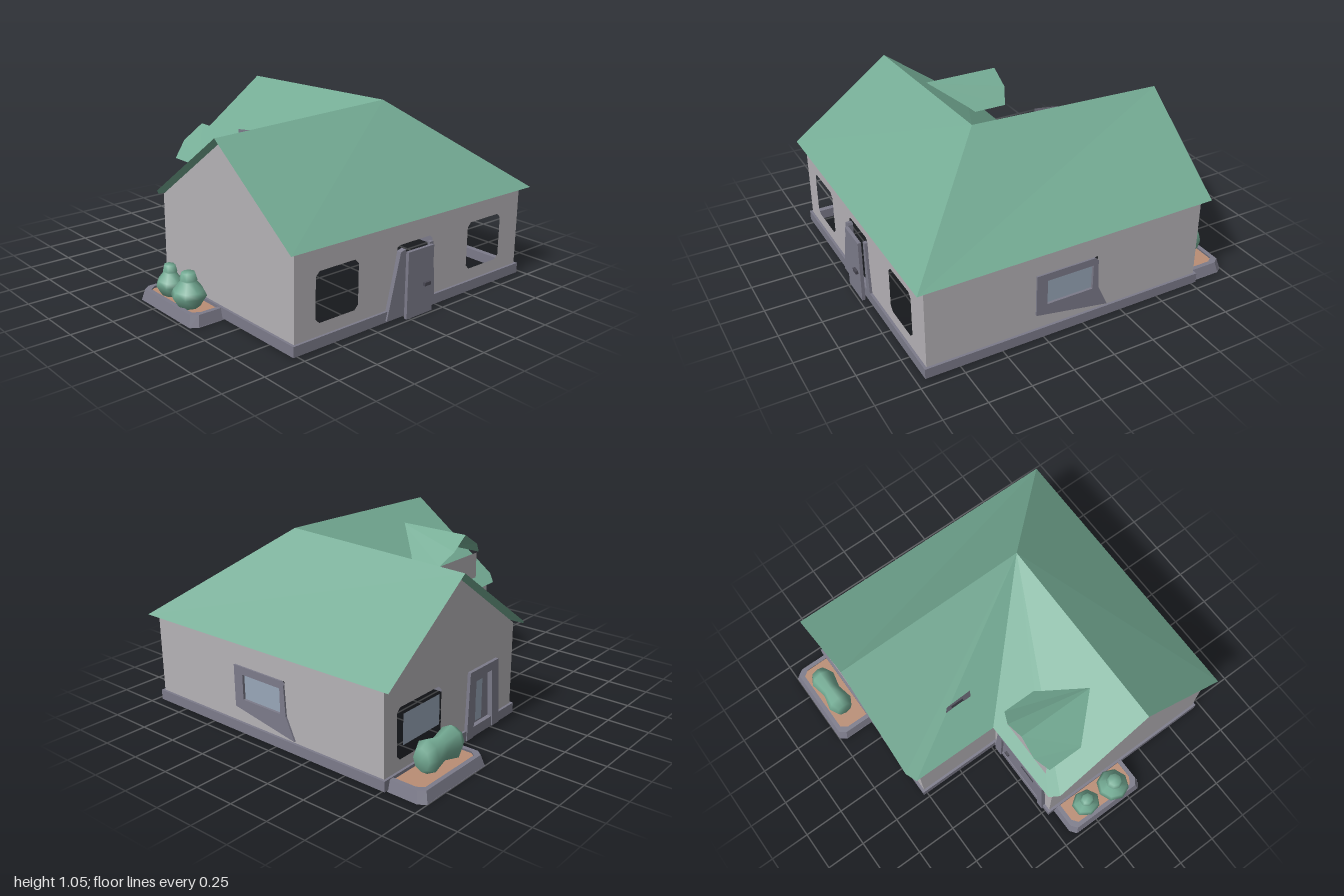
import * as THREE from 'three';

const mat = (name, color, side = THREE.FrontSide) => {
  const m = new THREE.MeshStandardMaterial({ color, side });
  m.name = name;
  return m;
};

export function createModel() {
  const house = new THREE.Group();
  house.name = 'house';
  const green = mat('green', 0x74ab94, THREE.DoubleSide);
  const wallGrey = mat('wallGrey', 0xb5b2b6);
  const trim = mat('slateTrim', 0x7c7b8a, THREE.DoubleSide);
  const glass = mat('glass', 0x98a6b8, THREE.DoubleSide);
  const soil = mat('soil', 0xb98d74);
  const dark = mat('darkDetail', 0x4a4954);

  const add = (name, geometry, material, parent = house) => {
    const mesh = new THREE.Mesh(geometry, material);
    mesh.name = name;
    parent.add(mesh);
    return mesh;
  };

  // Facing turns a panel; u runs along x (front), -z (right), -x (back), z (left)
  const turns = { front: 0, right: Math.PI / 2, back: Math.PI, left: -Math.PI / 2 };
  const toPts = (list) => list.map(([x, y]) => new THREE.Vector2(x, y));
  const shapeOf = (outline, holes = []) => {
    const s = new THREE.Shape(toPts(outline));
    holes.forEach((h) => s.holes.push(new THREE.Path(toPts(h))));
    return s;
  };
  const panel = (name, material, facing, dist, outline, holes = [], depth = 0) => {
    const s = shapeOf(outline, holes);
    const g = depth
      ? new THREE.ExtrudeGeometry(s, { depth, bevelEnabled: false })
      : new THREE.ShapeGeometry(s);
    g.translate(0, 0, dist).rotateY(turns[facing]);
    return add(name, g, material);
  };
  const rect = (a, b, c, d) => [[a, b], [c, b], [c, d], [a, d]];
  // Rectangle with clipped corners
  const clipped = (a, b, c, d, k = 0.025) => [
    [a + k, b], [c - k, b], [c, b + k], [c, d - k], [c - k, d], [a + k, d], [a, d - k], [a, b + k],
  ];

  // Walls, open at windows and doors
  const low = 0.06, top = 0.57, peak = 0.995;
  panel('frontWall', wallGrey, 'front', 0.94,
    [[-0.77, low], [-0.13, low], [-0.06, 0.41], [-0.04, 0.42], [0.19, 0.42], [0.21, 0.4],
      [0.21, low], [0.94, low], [0.94, top], [-0.77, top]],
    [clipped(-0.63, 0.14, -0.34, 0.42), clipped(0.5, 0.14, 0.78, 0.42)]);
  panel('rightWall', wallGrey, 'right', 0.94, rect(-0.94, low, 0.76, top),
    [rect(-0.28, 0.18, 0.08, 0.41)]);
  panel('backGableWall', wallGrey, 'back', 0.76,
    [[-0.94, low], [-0.23, low], [-0.22, 0.41], [0.03, 0.41], [0.05, low],
      [0.21, low], [0.21, top], [-0.37, peak], [-0.94, top]],
    [clipped(-0.84, 0.13, -0.47, 0.42)]);
  panel('leftGableWall', wallGrey, 'left', 0.77,
    [[-0.21, low], [0.94, low], [0.94, top], [0.37, peak], [-0.21, top]]);
  panel('innerBackWall', wallGrey, 'back', 0.21, rect(0.21, low, 0.77, top));
  panel('innerSideWall', wallGrey, 'left', 0.21, rect(-0.76, low, -0.21, top));

  // Plinth ring and underside
  const footprint = (o) => [
    [-0.77 - o, -0.94 - o], [0.94 + o, -0.94 - o], [0.94 + o, 0.76 + o],
    [-0.21 - o, 0.76 + o], [-0.21 - o, 0.21 + o], [-0.77 - o, 0.21 + o],
  ];
  const plinth = new THREE.ExtrudeGeometry(shapeOf(footprint(0.015), [footprint(-0.02)]),
    { depth: 0.06, bevelEnabled: false });
  add('plinth', plinth.rotateX(-Math.PI / 2).translate(0, 0.01, 0), trim);
  const under = new THREE.ShapeGeometry(shapeOf(footprint(0).map(([x, y]) => [x, -y]).reverse()));
  add('underside', under.rotateX(Math.PI / 2).translate(0, 0.012, 0), mat('slateUnderside', 0x7c7b8a));

  // Flat sheets given by their corners
  const sheet = (name, corners) => {
    const pos = [];
    for (let i = 1; i < corners.length - 1; i++) pos.push(...corners[0], ...corners[i], ...corners[i + 1]);
    const g = new THREE.BufferGeometry();
    g.setAttribute('position', new THREE.Float32BufferAttribute(pos, 3));
    g.computeVertexNormals();
    return add(name, g, green);
  };

  // L-shaped roof with two ridges meeting at one point
  const P = [0.37, 1.05, 0.37], A = [-0.82, 1.015, 0.37], B = [0.37, 1.015, -0.82];
  const corner = [0.98, 0.55, 0.99], V = [-0.26, 0.55, -0.26];
  sheet('roofFront', [[-0.82, 0.56, 0.98], corner, P, A]);
  sheet('roofRight', [corner, [0.97, 0.56, -0.81], B, P]);
  sheet('roofInnerBack', [P, V, [-0.78, 0.56, -0.25], [-0.82, 0.6, -0.2], A]);
  sheet('roofInnerSide', [P, B, [-0.2, 0.6, -0.83], [-0.26, 0.56, -0.8], V]);

  // Dormer on the inner back slope
  for (const s of [-1, 1]) {
    const x = -0.485 + s * 0.21;
    const inner = [-0.485, 0.93, 0.26], end = [-0.485, 0.93, -0.23];
    const half = [inner, end, [-0.485 + s * 0.12, 0.85, -0.235], [x, 0.77, -0.19], [x, 0.77, 0.04]];
    sheet('dormerRoof', s > 0 ? half : half.reverse());
  }
  panel('dormerWall', wallGrey, 'back', 0.19, [[0.3, 0.6], [0.67, 0.6], [0.67, 0.77], [0.3, 0.77]]);
  // Upright roof window on the inner side slope
  panel('roofWindowFrame', trim, 'left', 0.07,
    [[-0.46, 0.66], [-0.28, 0.66], [-0.28, 0.81], [-0.44, 0.79]],
    [rect(-0.41, 0.7, -0.33, 0.76)]);
  panel('roofWindowPane', dark, 'left', 0.068, rect(-0.42, 0.69, -0.32, 0.77));

  // Front door with its leaning surround
  panel('frontDoor', trim, 'front', 0.965, rect(-0.02, 0, 0.175, 0.385), [], 0.02);
  panel('frontDoorSurround', trim, 'front', 0.935,
    [[-0.15, 0.02], [-0.02, 0.02], [-0.02, 0.385], [-0.025, 0.4], [-0.06, 0.39]], [], 0.03);
  panel('frontDoorJamb', trim, 'front', 0.935, [[0.175, 0.02], [0.23, 0.02], [0.2, 0.39], [0.175, 0.39]], [], 0.02);
  panel('frontDoorHandle', dark, 'front', 0.985, rect(0.1, 0.165, 0.145, 0.185), [], 0.015);

  // Right window with a skewed sill
  panel('rightWindowFrame', trim, 'right', 0.935,
    [[-0.3, 0.16], [0.15, 0.08], [0.09, 0.21], [0.08, 0.39], [0.06, 0.41], [-0.3, 0.41]],
    [rect(-0.235, 0.215, 0.05, 0.365)], 0.015);
  panel('rightWindowGlass', glass, 'right', 0.932, rect(-0.24, 0.21, 0.055, 0.37));

  // Back gable window and narrow door
  panel('backWindowGlass', glass, 'back', 0.76, rect(-0.79, 0.2, -0.485, 0.375));
  panel('backDoorSurround', trim, 'back', 0.75,
    [[-0.25, 0.01], [-0.19, 0.01], [-0.17, 0.36], [-0.02, 0.36], [0, 0.01], [0.07, 0.01], [0.04, 0.41], [-0.23, 0.41]],
    [], 0.03);
  panel('backDoor', trim, 'back', 0.74, rect(-0.19, 0.01, 0, 0.37), [], 0.008);
  panel('backDoorGlass', glass, 'back', 0.75, rect(-0.13, 0.08, -0.07, 0.32));

  // Wide door on the inner back wall
  panel('wideDoorSurround', trim, 'back', 0.2,
    [[0.24, 0.01], [0.3, 0.01], [0.31, 0.38], [0.66, 0.38], [0.68, 0.01], [0.73, 0.01], [0.7, 0.42], [0.27, 0.42]],
    [], 0.035);
  panel('wideDoor', trim, 'back', 0.21, rect(0.29, 0.01, 0.68, 0.39), [], 0.01);
  panel('wideDoorWindow', dark, 'back', 0.221, rect(0.49, 0.26, 0.61, 0.36));
  panel('wideDoorHandle', dark, 'back', 0.22, rect(0.34, 0.17, 0.37, 0.19), [], 0.015);

  // Planter: v runs outward from the wall, outer corners clipped and sides flared
  const planter = (name, facing, dist, u0, u1, reach) => {
    const group = new THREE.Group();
    group.name = name;
    const ring = (i) => [[u0 + i, 0], [u1 - i, 0], [u1 - i, reach - 0.04 - i],
      [u1 - i - 0.03, reach - i], [u0 + i + 0.03, reach - i], [u0 + i, reach - 0.04 - i]];
    const box = new THREE.ExtrudeGeometry(shapeOf(ring(0), [ring(0.028).map(([u, v]) => [u, Math.max(v, 0.005)])]),
      { depth: 0.065, bevelEnabled: false });
    const p = box.attributes.position, mid = (u0 + u1) / 2;
    for (let i = 0; i < p.count; i++) {
      if (p.getZ(i) > 0.01) p.setXY(i, mid + (p.getX(i) - mid) * 0.94, p.getY(i) * 0.92);
    }
    box.computeVertexNormals();
    // shape plane to ground plane, outward along +z
    const lay = (g, y) => g.scale(1, -1, 1).rotateX(-Math.PI / 2).translate(0, y, dist);
    add('planterRim', lay(box, 0), trim, group);
    const bed = new THREE.ShapeGeometry(shapeOf(ring(0.015)));
    add('planterSoil', lay(bed, 0.052), mat0, group);
    const base = new THREE.ShapeGeometry(shapeOf(ring(0)));
    add('planterBase', lay(base, 0.004), trim, group);
    group.rotation.y = turns[facing];
    house.add(group);
  };
  const mat0 = soil;
  soil.side = THREE.DoubleSide;
  planter('leftPlanter', 'left', 0.77, -0.18, 0.36, 0.21);
  planter('backPlanter', 'back', 0.77, -0.93, -0.37, 0.23);

  // Bushes turned from short profiles
  const bush = (name, profile, sides) => add(name, new THREE.LatheGeometry(toPts(profile), sides), green);
  const upright = [[0, 0], [0.06, 0], [0.1, 0.065], [0.085, 0.095], [0.045, 0.145], [0.05, 0.155], [0.038, 0.195], [0, 0.195]];
  const b1 = bush('leftBushLarge', upright, 8);
  b1.position.set(-0.885, 0.055, 0.19);
  const b2 = bush('leftBushSmall', upright, 7);
  b2.position.set(-0.875, 0.055, -0.01);
  b2.scale.set(0.8, 0.9, 0.9);
  const b3 = bush('backBush', [[0, -0.15], [0.06, -0.15], [0.09, -0.1], [0.065, 0], [0.09, 0.1], [0.06, 0.15], [0, 0.15]], 8);
  b3.rotation.z = Math.PI / 2;
  b3.position.set(0.64, 0.155, -0.875);
  b3.scale.set(1.1, 1, 0.85);

  return house;
}
